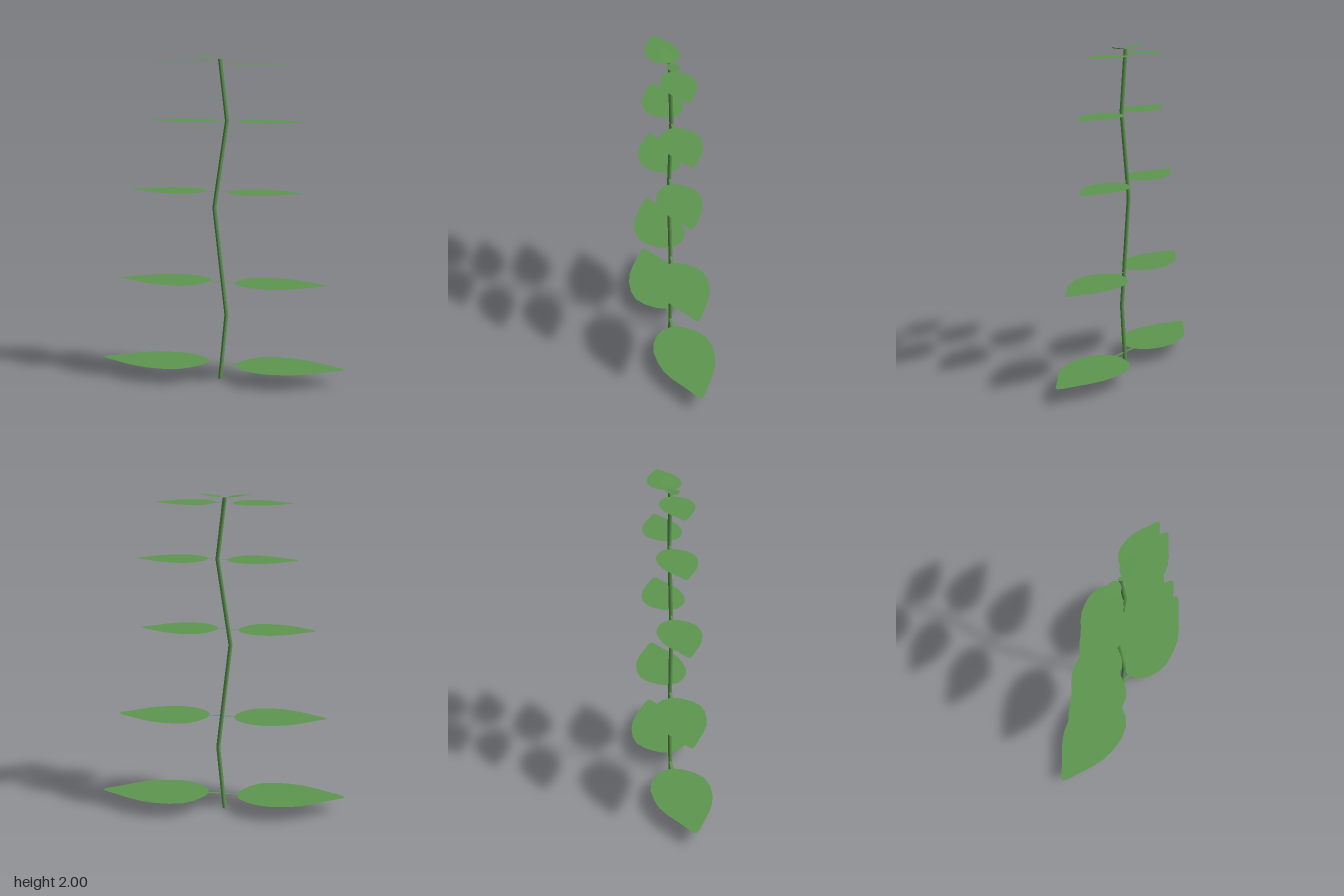
import * as THREE from 'three';

const leafGreen = new THREE.MeshStandardMaterial({ color: 0x5e9750, side: THREE.DoubleSide });
leafGreen.name = 'leaf green';

// Stem joints, bottom to top: [x, y]
const JOINTS = [[0, 0], [0.04, 0.41], [-0.036, 1.08], [0.043, 1.61], [0, 1.98]];

// Centre of the zigzag stem at a given height
function stemX(y) {
  for (let i = 1; i < JOINTS.length; i++) {
    const [x0, y0] = JOINTS[i - 1], [x1, y1] = JOINTS[i];
    if (y <= y1) return x0 + (x1 - x0) * (y - y0) / (y1 - y0);
  }
  return 0;
}

// Thin stem: one ring of a cylinder moved to each joint
function makeStem() {
  const rows = JOINTS.length - 1;
  const geo = new THREE.CylinderGeometry(0.0125, 0.0125, 1, 8, rows);
  const pos = geo.attributes.position;
  for (let i = 0; i < pos.count; i++) {
    const [x, y] = JOINTS[Math.round((pos.getY(i) + 0.5) * rows)];
    pos.setXYZ(i, pos.getX(i) + x, y, pos.getZ(i));
  }
  geo.computeVertexNormals();
  const mesh = new THREE.Mesh(geo, leafGreen);
  mesh.name = 'stem';
  return mesh;
}

// Flat leaf outline with its stalk, growing along +x from the stem
function makeLeafGeometry() {
  const outline = [
    [0, -0.009], [0.093, -0.009], [0.1, -0.045], [0.116, -0.08], [0.163, -0.122], [0.227, -0.155],
    [0.31, -0.17], [0.41, -0.16], [0.49, -0.14], [0.57, -0.1], [0.64, -0.05],
    [0.71, -0.005], [0.75, 0.018], [0.765, 0.042], [0.73, 0.07], [0.69, 0.09],
    [0.58, 0.15], [0.5, 0.184], [0.41, 0.204], [0.31, 0.207], [0.227, 0.188],
    [0.163, 0.14], [0.116, 0.075], [0.1, 0.04], [0.093, 0.009], [0, 0.009],
  ];
  const shape = new THREE.Shape(outline.map(([x, y]) => new THREE.Vector2(x, y)));
  return new THREE.ShapeGeometry(shape).rotateX(-Math.PI / 2);
}

export function createModel() {
  const plant = new THREE.Group();
  plant.name = 'plant';
  plant.add(makeStem());

  // Opposite leaf pairs: [height, size, upward tilt]
  const pairs = [
    [0.1, 1, 0], [0.62, 0.845, 0], [1.18, 0.695, 0],
    [1.61, 0.63, 0], [1.95, 0.53, 0], [1.98, 0.205, 0.13],
  ];
  const leafGeo = makeLeafGeometry();
  for (const [y, size, tilt] of pairs) {
    const pair = new THREE.Group();
    pair.name = 'leafPair';
    pair.position.set(stemX(y), y, 0);
    for (const turn of [0, Math.PI]) {
      const leaf = new THREE.Mesh(leafGeo, leafGreen);
      leaf.name = turn ? 'rightLeaf' : 'leftLeaf';
      leaf.scale.setScalar(size);
      leaf.rotation.set(0, turn, tilt);
      // Turn about y after tilting so both tips rise
      leaf.rotation.order = 'YZX';
      pair.add(leaf);
    }
    plant.add(pair);
  }
  return plant;
}
